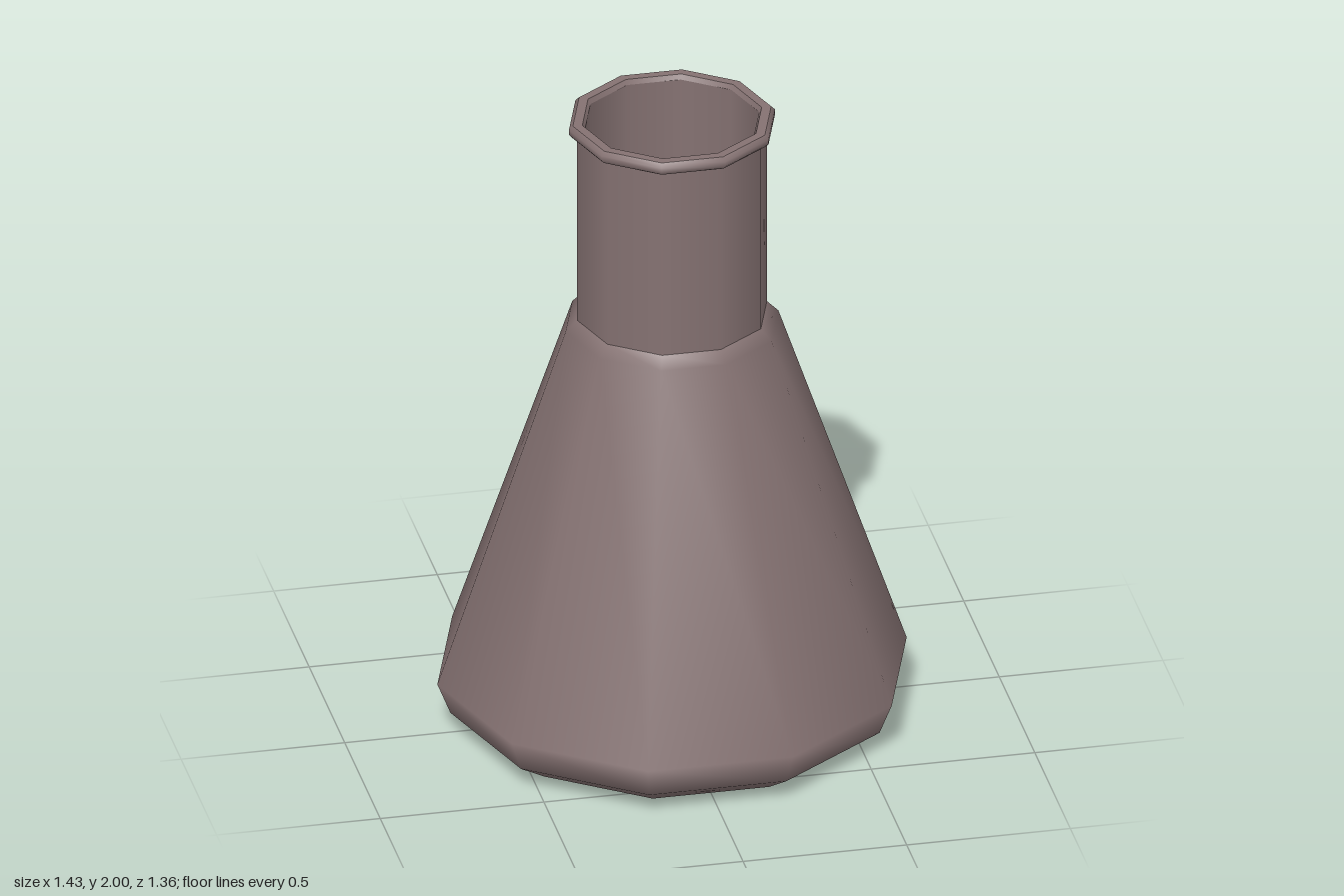
import * as THREE from 'three';

const SIDES = 10;
const glass = new THREE.MeshStandardMaterial({ color: 0x857272 });

// Ten-sided turned part with corners on the x axis; profile is [radius, height]
function turned(name, profile) {
  const points = profile.map(([r, y]) => new THREE.Vector2(r, y));
  const mesh = new THREE.Mesh(new THREE.LatheGeometry(points, SIDES, Math.PI / 2), glass);
  mesh.name = name;
  return mesh;
}

export function createModel() {
  const flask = new THREE.Group();
  flask.name = 'conicalFlask';

  // Outer wall: flat base, bevelled heel, cone and shoulder
  flask.add(turned('body', [
    [0, 0], [0.575, 0], [0.677, 0.065], [0.717, 0.165], [0.325, 1.31], [0.29, 1.345],
  ]));
  flask.add(turned('neck', [[0.29, 1.345], [0.29, 1.965]]));

  // Rolled lip: outer bead, flat top, inner chamfer
  flask.add(turned('lipBead', [
    [0.288, 1.96], [0.306, 1.962], [0.315, 1.972], [0.315, 1.988], [0.303, 2],
  ]));
  flask.add(turned('lipTop', [[0.303, 2], [0.274, 2]]));
  flask.add(turned('lipInnerEdge', [[0.274, 2], [0.266, 1.985]]));

  // Inner wall runs down from the lip to the floor
  flask.add(turned('innerNeck', [[0.266, 1.985], [0.266, 1.345]]));
  flask.add(turned('innerWall', [
    [0.266, 1.345], [0.302, 1.305], [0.69, 0.165], [0.655, 0.08], [0.565, 0.025],
  ]));
  flask.add(turned('innerFloor', [[0.565, 0.025], [0, 0.025]]));

  return flask;
}
